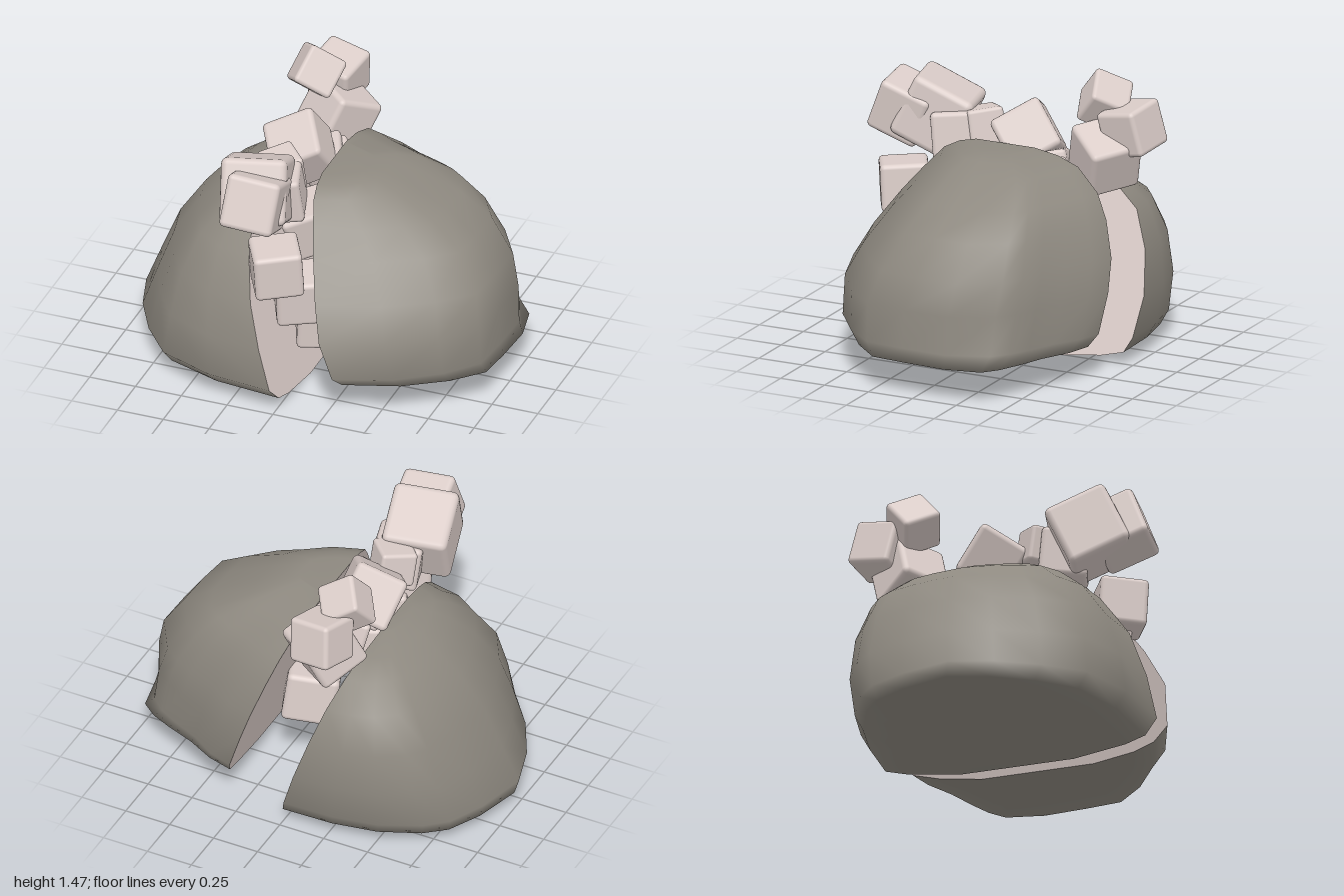
import * as THREE from 'three';
import { RoundedBoxGeometry } from 'three/addons/geometries/RoundedBoxGeometry.js';

// Half a rock: stacked sections, flat side on a slanted cut plane.
// rows: [y, outerX, frontZ, backZ, pinch]; cutX(y) places the flat side,
// pinch draws the back outer corner inward.
// outline: [outward 0..1, z -1..1] from the back edge of the cut to its front edge.
function rockHalf(name, side, rows, cutX, outline, stone, inner) {
  const pos = [], shell = [], face = [];
  const c = outline.length, last = c - 1;
  rows.forEach(([y, outX, front, back, pinch = 0]) => {
    const x0 = cutX(y), mid = (front + back) / 2, half = (front - back) / 2;
    outline.forEach(([u, w]) => {
      const corner = Math.max(0, 1 - Math.abs(w + 0.6) / 0.38);
      pos.push(x0 + (outX - x0) * (u - pinch * corner), y, mid + half * w);
    });
  });
  const tri = (list, a, b, d) => (side > 0 ? list.push(a, b, d) : list.push(a, d, b));
  const quad = (list, a, b) => {
    tri(list, a, a + c, b);
    tri(list, b, a + c, b + c);
  };
  for (let i = 0; i < rows.length - 1; i++) {
    for (let j = 0; j < last; j++) quad(shell, i * c + j, i * c + j + 1);
    quad(face, i * c + last, i * c);
  }
  // bottom and top caps
  const top = (rows.length - 1) * c;
  for (let j = 1; j < last; j++) {
    tri(shell, 0, j, j + 1);
    tri(shell, top, top + j + 1, top + j);
  }
  const group = new THREE.Group();
  group.name = name;
  [[shell, stone, 'rockShell'], [face, inner, 'cutFace']].forEach(([index, mat, label]) => {
    const g = new THREE.BufferGeometry();
    g.setAttribute('position', new THREE.Float32BufferAttribute(pos, 3));
    g.setIndex(index);
    g.computeVertexNormals();
    const mesh = new THREE.Mesh(g, mat);
    mesh.name = label;
    group.add(mesh);
  });
  return group;
}

export function createModel() {
  const model = new THREE.Group();
  model.name = 'splitCrystalRock';
  const stone = new THREE.MeshStandardMaterial({ color: 0x8e8980 });
  stone.name = 'stone';
  const crystal = new THREE.MeshStandardMaterial({ color: 0xdbcdc9 });
  crystal.name = 'crystal';

  // larger, lower half
  model.add(rockHalf('rightRockHalf', -1, [
    [0.0, -0.1, 0.3, -0.3],
    [0.035, -0.55, 0.58, -0.58],
    [0.065, -0.98, 0.69, -0.7],
    [0.14, -1.0, 0.76, -0.74],
    [0.35, -0.92, 0.73, -0.77],
    [0.57, -0.83, 0.66, -0.74],
    [0.76, -0.7, 0.52, -0.66],
    [0.87, -0.56, 0.38, -0.52],
    [0.92, -0.46, 0.27, -0.37],
    [0.95, -0.36, 0.12, -0.16],
  ], (y) => 0.03 - 0.33 * y, [
    [0, -1], [0.28, -0.99], [0.52, -0.93], [0.73, -0.8], [0.84, -0.67], [0.93, -0.42],
    [1, -0.06], [0.93, 0.24], [0.81, 0.53], [0.65, 0.79], [0.36, 0.94], [0, 1],
  ], stone, crystal));

  // raised half
  model.add(rockHalf('leftRockHalf', 1, [
    [0.115, 0.45, 0.3, -0.3],
    [0.145, 0.75, 0.52, -0.52],
    [0.18, 1.0, 0.63, -0.66],
    [0.25, 0.985, 0.71, -0.71, 0.08],
    [0.45, 0.98, 0.72, -0.73, 0.11],
    [0.62, 0.94, 0.63, -0.72, 0.13],
    [0.8, 0.82, 0.5, -0.66, 0.12],
    [0.92, 0.65, 0.4, -0.59, 0.06],
    [1.03, 0.42, 0.3, -0.46],
    [1.07, 0.31, 0.22, -0.34],
    [1.09, 0.22, 0.13, -0.2],
  ], (y) => 0.39 - 0.335 * y, [
    [0, -1], [0.2, -0.94], [0.42, -0.82], [0.65, -0.73], [0.82, -0.65], [0.94, -0.55],
    [1, -0.25], [0.98, 0.1], [0.95, 0.4], [0.74, 0.63], [0.42, 0.85], [0, 1],
  ], stone, crystal));

  // cubic crystals along the split: [x, y, z, size, rotX, rotY, rotZ]
  const crystals = new THREE.Group();
  crystals.name = 'crystals';
  [
    [-0.19, 1.2, -0.65, 0.24, 0.2, -0.2, -0.1],
    [-0.24, 1.305, -0.47, 0.21, -0.52, 0.545, -0.31],
    [-0.14, 1.05, -0.52, 0.28, -0.52, -0.545, -0.43],
    [-0.1, 0.92, -0.22, 0.23, 0.2, 0.4, 0.2],
    [-0.17, 1.08, -0.07, 0.28, 0.57, 0.5, 0.2],
    [-0.17, 1.1, 0.19, 0.19, 0.1, 0.75, 0.1],
    [-0.2, 1.13, 0.46, 0.34, -0.45, 0.2, 0.13],
    [-0.15, 1.15, 0.61, 0.28, -0.37, 0.1, -0.06],
    [-0.14, 1.05, 0.31, 0.25, 0.1, 0.3, 0.1],
    [-0.05, 0.77, 0.575, 0.25, 0.05, 0.5, 0.04],
    [0.03, 0.57, 0.46, 0.25, 0.1, 0.45, 0.0],
    [0.11, 0.39, 0.37, 0.24, 0.1, 0.4, -0.08],
    [0.1, 0.46, -0.19, 0.27, 0.1, 0.4, 0.1],
    [-0.07, 0.87, -0.25, 0.24, 0.4, 0.5, 0.1],
    [0.0, 0.84, 0.2, 0.26, 0.2, 0.4, 0.3],
  ].forEach(([x, y, z, size, rx, ry, rz]) => {
    const cube = new THREE.Mesh(new RoundedBoxGeometry(size, size, size, 2, size * 0.1), crystal);
    cube.name = 'crystalCube';
    cube.position.set(x, y, z);
    cube.rotation.set(rx, ry, rz);
    crystals.add(cube);
  });
  model.add(crystals);
  return model;
}
